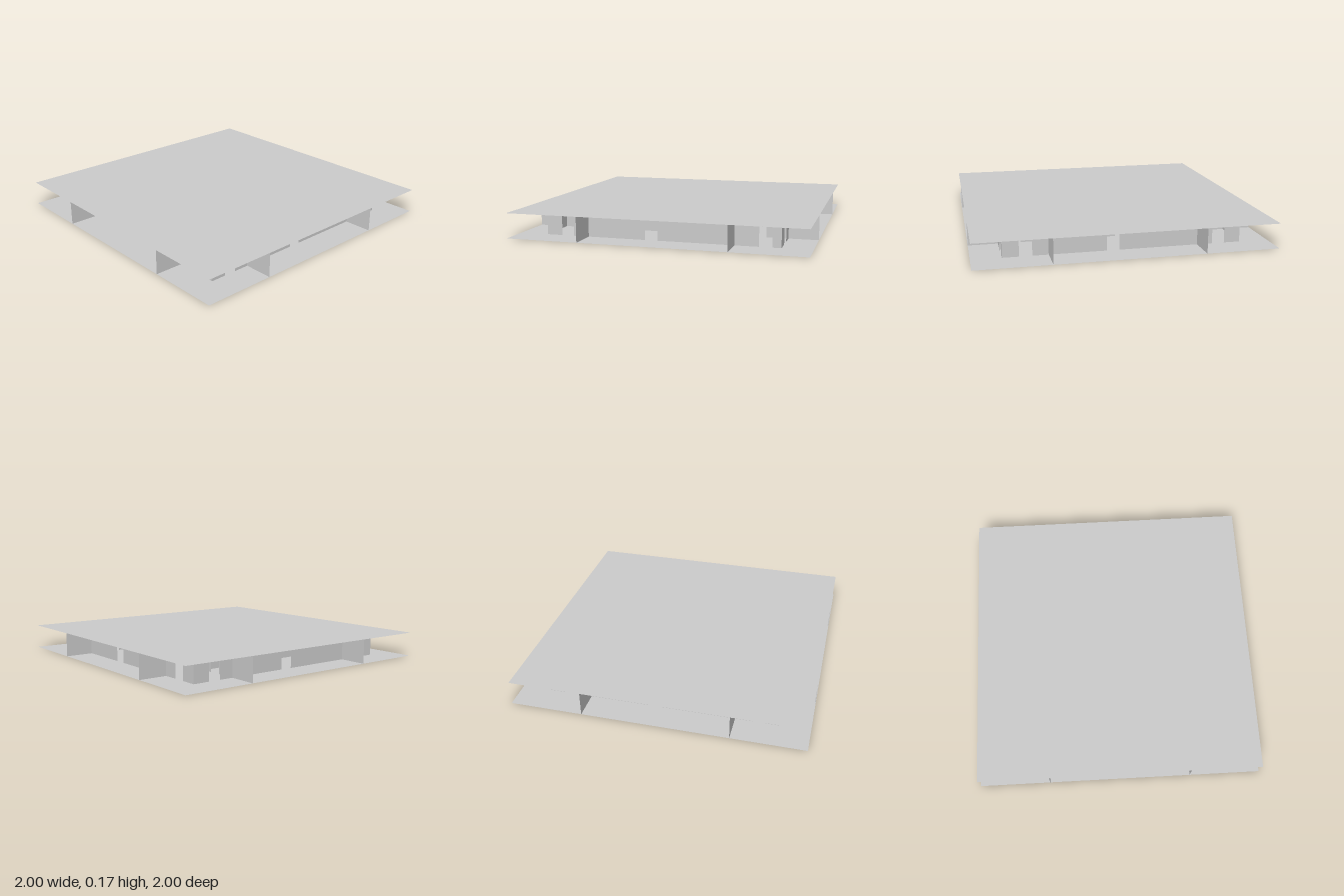
import * as THREE from 'three';

const HEIGHT = 0.17;
const DOOR_WIDTH = 0.085;
const DOOR_HEIGHT = 0.13;

const material = new THREE.MeshStandardMaterial({ color: 0xcccccc, side: THREE.DoubleSide, flatShading: true });

// Thin upright panel with doorways cut from its lower edge, doors listed by centre
function wallGeometry(halfLength, doors) {
  const shape = new THREE.Shape();
  shape.moveTo(-halfLength, 0);
  for (const centre of doors) {
    const a = centre - DOOR_WIDTH / 2;
    const b = centre + DOOR_WIDTH / 2;
    shape.lineTo(a, 0);
    shape.lineTo(a, DOOR_HEIGHT);
    shape.lineTo(b, DOOR_HEIGHT);
    shape.lineTo(b, 0);
  }
  shape.lineTo(halfLength, 0);
  shape.lineTo(halfLength, HEIGHT);
  shape.lineTo(-halfLength, HEIGHT);
  shape.closePath();
  return new THREE.ShapeGeometry(shape);
}

export function createModel() {
  const model = new THREE.Group();
  model.name = 'roomBlock';

  function add(name, geometry) {
    const mesh = new THREE.Mesh(geometry, material);
    mesh.name = name;
    model.add(mesh);
    return mesh;
  }

  // Floor and ceiling sheets
  for (const [name, y] of [['floor', 0], ['ceiling', HEIGHT]]) {
    add(name, new THREE.PlaneGeometry(2, 2).rotateX(-Math.PI / 2).translate(0, y, 0));
  }

  // Walls running along x: outer ones stop at 0.8, inner ones reach the edge as fins
  const wallsAlongX = [
    ['frontWall', 0.8, 0.8, [-0.66, -0.048, 0.648]],
    ['frontPartition', 0.5, 1, [-0.69, 0.06, 0.638]],
    ['backPartition', -0.5, 1, [-0.62, -0.05, 0.69]],
    ['backWall', -0.8, 0.8, [-0.648, 0.076, 0.648]],
  ];
  for (const [name, z, half, doors] of wallsAlongX) {
    add(name, wallGeometry(half, doors)).position.z = z;
  }

  // Walls running along z, doors measured along +z
  const wallsAlongZ = [
    ['leftWall', 0.8, 0.8, [-0.7, 0.058, 0.65]],
    ['leftPartition', 0.5, 1, [-0.61, -0.05, 0.632]],
    ['rightPartition', -0.5, 1, [-0.69, 0.05, 0.7]],
    ['rightWall', -0.8, 0.8, [-0.64, -0.04, 0.66]],
  ];
  for (const [name, x, half, doors] of wallsAlongZ) {
    const wall = add(name, wallGeometry(half, doors));
    wall.rotation.y = -Math.PI / 2;
    wall.position.x = x;
  }

  return model;
}
